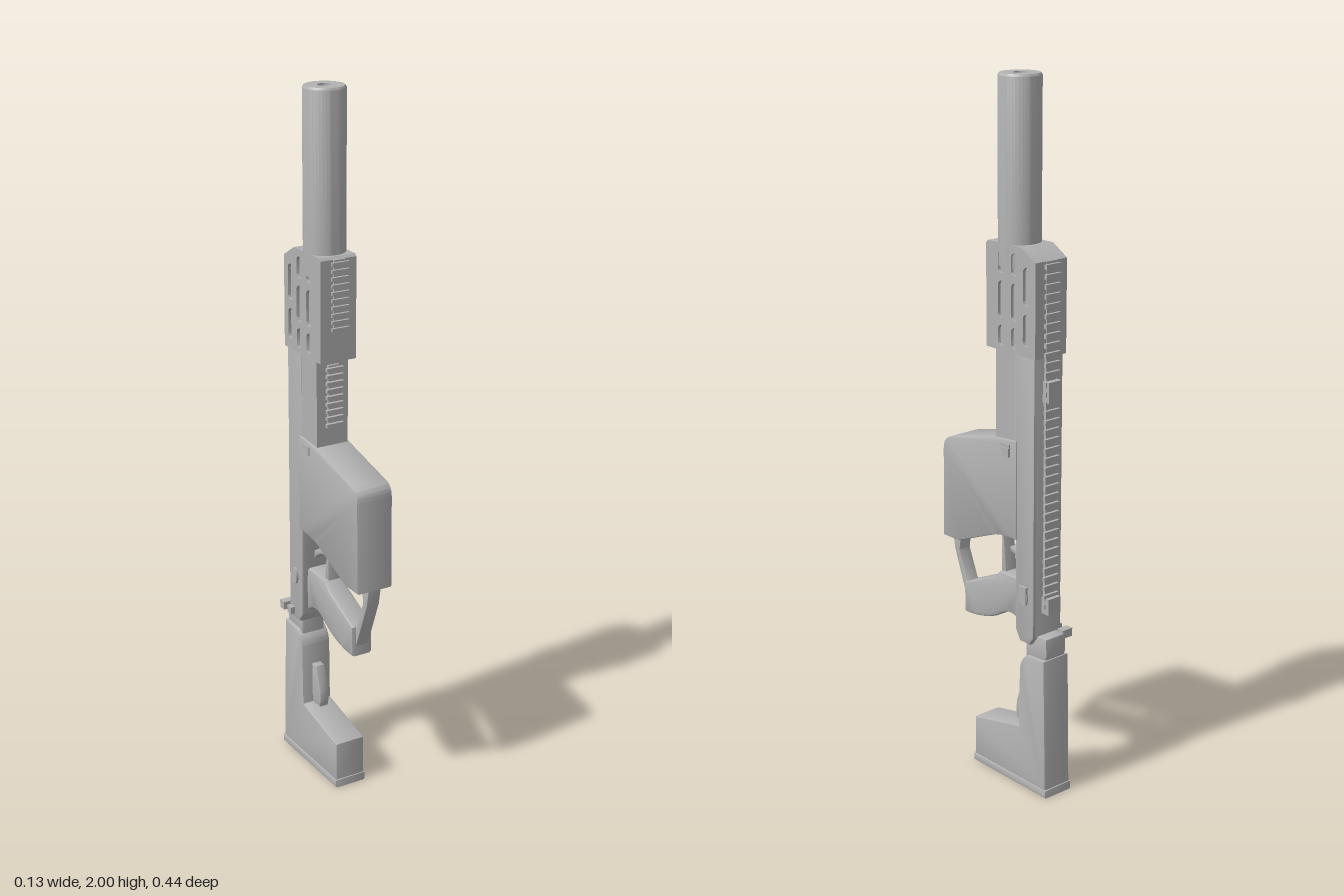
import * as THREE from 'three';
import { toCreasedNormals } from 'three/addons/utils/BufferGeometryUtils.js';

export function createModel() {
  const model = new THREE.Group();
  const grey = new THREE.MeshStandardMaterial({ color: 0xb2b2b2 });
  grey.name = 'grey metal';

  const add = (name, geo, parent = model) => {
    const mesh = new THREE.Mesh(geo, grey);
    mesh.name = name;
    parent.add(mesh);
    return mesh;
  };
  // Box given by its min and max along each axis
  const box = (name, x0, x1, y0, y1, z0, z1, parent) =>
    add(name, new THREE.BoxGeometry(x1 - x0, y1 - y0, z1 - z0)
      .translate((x0 + x1) / 2, (y0 + y1) / 2, (z0 + z1) / 2), parent);
  const outline = pts => new THREE.Shape(pts.map(p => new THREE.Vector2(p[0], p[1])));
  // Side profile of (z, y) points, extruded across x with small bevels
  const profile = (name, shape, half, bevel = 0.006, cx = 0) => {
    const geo = new THREE.ExtrudeGeometry(shape, {
      depth: 2 * (half - bevel), bevelEnabled: bevel > 0, bevelSize: bevel, bevelThickness: bevel,
      bevelOffset: -bevel, bevelSegments: 2, curveSegments: 10,
    });
    geo.translate(0, 0, -(half - bevel)).rotateY(-Math.PI / 2).translate(cx, 0, 0);
    return add(name, toCreasedNormals(geo, 0.6));
  };

  // Suppressor with a hollow bore
  const tube = [[0.058, 1.5], [0.058, 1.994], [0.054, 2], [0.019, 2], [0.019, 1.9], [0, 1.9]];
  add('suppressor', toCreasedNormals(
    new THREE.LatheGeometry(tube.map(p => new THREE.Vector2(...p)), 40), 0.6)).position.z = -0.05;

  // Handguard: inner core with slotted side plates
  const guard = [[0.022, 1.272], [0.022, 1.555], [0.015, 1.562], [-0.12, 1.562], [-0.174, 1.53], [-0.174, 1.272]];
  profile('handguardCore', outline(guard), 0.046, 0);
  const slots = [];
  for (const z of [-0.04, -0.092]) slots.push([z, 1.482, 1.542], [z, 1.36, 1.462], [z, 1.285, 1.342]);
  slots.push([-0.139, 1.41, 1.512], [-0.139, 1.3, 1.387]);
  const slotted = outline(guard);
  for (const [z, lo, hi] of slots) {
    const r = 0.014, hole = new THREE.Path();
    hole.moveTo(z - r, lo + r);
    hole.absarc(z, lo + r, r, Math.PI, 2 * Math.PI, false);
    hole.absarc(z, hi - r, r, 0, Math.PI, false);
    hole.closePath();
    slotted.holes.push(hole);
  }
  for (const s of [-1, 1]) profile('handguardPlate', slotted, 0.005, 0, s * 0.05);

  // Receiver spine and forward block
  const spine = outline([[-0.088, 1.28], [-0.168, 1.28], [-0.168, 0.475], [-0.15, 0.45], [-0.11, 0.45], [-0.092, 0.48]].reverse());
  profile('receiver', spine, 0.052, 0.008);
  box('barrelShroud', -0.049, 0.049, 1.01, 1.28, -0.095, -0.01);

  // Big front housing
  const housing = new THREE.Shape();
  housing.moveTo(-0.1, 1.03);
  housing.lineTo(-0.015, 1.023);
  housing.lineTo(0.185, 0.975);
  housing.quadraticCurveTo(0.212, 0.967, 0.213, 0.935);
  housing.lineTo(0.217, 0.672);
  housing.lineTo(0.152, 0.672);
  housing.lineTo(0.01, 0.73);
  housing.quadraticCurveTo(-0.02, 0.746, -0.1, 0.746);
  housing.closePath();
  profile('frontHousing', housing, 0.056, 0.006);

  // Hand guard strap, grip, rear strut and trigger
  profile('gripGuard', outline([[0.217, 0.675], [0.208, 0.625], [0.153, 0.48], [0.14, 0.53],
    [0.154, 0.545], [0.187, 0.625], [0.18, 0.675]]), 0.02, 0.003);
  const grip = new THREE.Shape();
  grip.moveTo(-0.1, 0.622);
  grip.lineTo(0, 0.62);
  grip.lineTo(0.025, 0.595);
  grip.lineTo(0.152, 0.538);
  grip.lineTo(0.152, 0.448);
  grip.quadraticCurveTo(0.06, 0.448, -0.005, 0.49);
  grip.quadraticCurveTo(-0.06, 0.53, -0.1, 0.48);
  grip.closePath();
  profile('grip', grip, 0.034, 0.01);
  profile('triggerStrut', outline([[0.002, 0.74], [0.002, 0.61], [-0.018, 0.61], [-0.005, 0.74]]), 0.02, 0.002);
  const trigger = new THREE.Shape();
  trigger.moveTo(-0.025, 0.696);
  trigger.quadraticCurveTo(-0.07, 0.695, -0.1, 0.665);
  trigger.lineTo(-0.1, 0.638);
  trigger.quadraticCurveTo(-0.07, 0.68, -0.025, 0.682);
  profile('trigger', trigger, 0.012, 0.002);

  // Toothed rails: base strip plus evenly spaced teeth, dir is the outward z
  const rail = (name, y0, y1, z, dir, height, count) => {
    const g = new THREE.Group();
    g.name = name;
    const span = (a, b) => [Math.min(a, b), Math.max(a, b)];
    const mid = z + dir * height * 0.5, top = z + dir * height, step = (y1 - y0) / count;
    box('railBase', -0.017, 0.017, y0, y1, ...span(z - dir * 0.01, mid), g);
    for (let i = 0; i < count; i++) {
      const y = y0 + (i + 0.25) * step;
      box('railTooth', -0.026, 0.026, y, y + step * 0.5, ...span(mid, top), g);
    }
    model.add(g);
  };
  rail('backRail', 0.555, 1.53, -0.168, -1, 0.017, 37);
  rail('handguardRail', 1.355, 1.555, 0.02, 1, 0.016, 10);
  rail('shroudRail', 1.075, 1.255, -0.012, 1, 0.02, 9);

  // Folded sights on the back rail
  box('frontSight', -0.022, 0.022, 1.15, 1.208, -0.193, -0.165);
  box('rearSight', -0.022, 0.022, 0.545, 0.592, -0.197, -0.165);

  // Pins, catches and side lever
  for (const s of [-1, 1]) {
    const pin = add('receiverPin', new THREE.CylinderGeometry(0.017, 0.017, 0.008, 20).rotateZ(Math.PI / 2));
    pin.position.set(s * 0.054, 0.59, -0.13);
    pin.scale.y = 1.5;
    box('catchBar', s * 0.055 - 0.004, s * 0.055 + 0.004, 1.005, 1.015, -0.075, -0.04);
    box('catchTab', s * 0.055 - 0.004, s * 0.055 + 0.004, 0.99, 1.015, -0.05, -0.04);
  }
  box('boltCatch', 0.05, 0.062, 0.98, 1.005, -0.075, -0.045);
  box('selector', 0.05, 0.06, 0.57, 0.62, -0.145, -0.115);

  // Folding hinge between receiver and stock
  profile('hinge', outline([[-0.12, 0.4], [-0.12, 0.455], [-0.16, 0.478], [-0.203, 0.478],
    [-0.205, 0.43], [-0.195, 0.4]]), 0.036, 0.004);
  box('hingeButton', -0.065, -0.03, 0.462, 0.486, -0.2, -0.177);
  box('hingeLever', -0.065, -0.04, 0.465, 0.486, -0.158, -0.135);

  // Stock and butt pad
  const stock = new THREE.Shape();
  stock.moveTo(-0.205, 0.416);
  stock.lineTo(-0.135, 0.412);
  stock.quadraticCurveTo(-0.106, 0.395, -0.104, 0.36);
  stock.lineTo(-0.1, 0.182);
  stock.lineTo(0.09, 0.14);
  stock.lineTo(0.09, 0.02);
  stock.lineTo(-0.214, 0.02);
  stock.closePath();
  profile('stock', stock, 0.047, 0.006);
  profile('buttPad', outline([[-0.218, 0], [0.094, 0], [0.094, 0.024], [-0.218, 0.024]]), 0.05, 0.006);
  profile('stockCatch', outline([[-0.105, 0.182], [-0.06, 0.182], [-0.055, 0.205], [-0.056, 0.235],
    [-0.08, 0.306], [-0.105, 0.306]].reverse()), 0.014, 0.002);

  return model;
}
